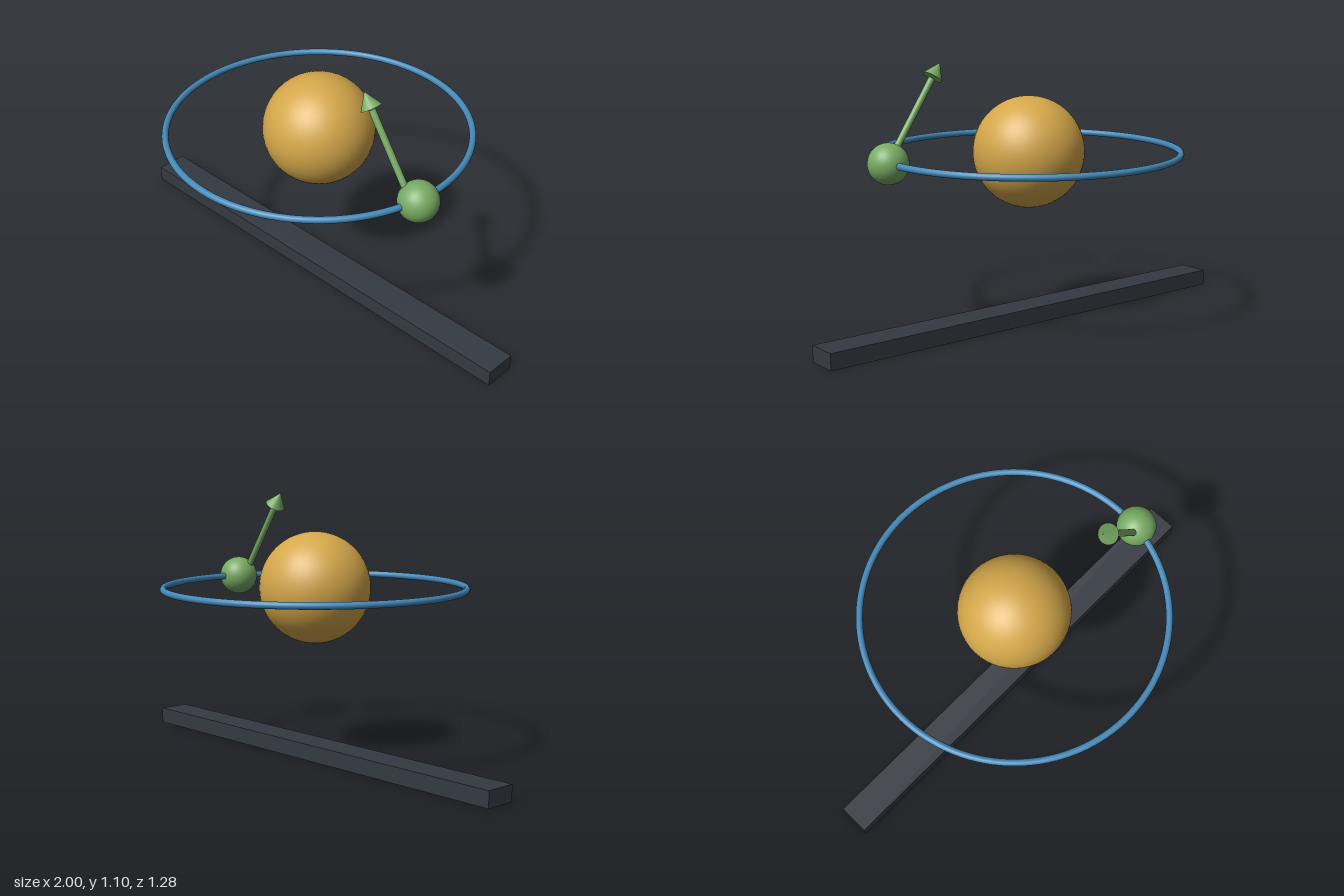
import * as THREE from 'three';

const material = (name, color) => {
  const m = new THREE.MeshStandardMaterial({ color });
  m.name = name;
  return m;
};

export function createModel() {
  const group = new THREE.Group();
  group.name = 'orbitModel';
  const gold = material('gold', 0xd4a74a);
  const blue = material('blue', 0x4489b8);
  const green = material('green', 0x78ab64);
  const slate = material('slate', 0x343a42);

  const add = (name, geometry, mat, x, y, z, parent = group) => {
    const mesh = new THREE.Mesh(geometry, mat);
    mesh.name = name;
    mesh.position.set(x, y, z);
    parent.add(mesh);
    return mesh;
  };

  const orbitY = 0.72;

  // Base bar on the ground
  add('baseBar', new THREE.BoxGeometry(2, 0.068, 0.134), slate, 0, 0.034, 0);

  // Central body and its orbit ring
  add('centralSphere', new THREE.SphereGeometry(0.232, 48, 32), gold, 0, orbitY, 0);
  const ring = add('orbitRing', new THREE.TorusGeometry(0.626, 0.014, 16, 128), blue, 0, orbitY, 0);
  ring.rotation.x = Math.PI / 2;

  // Small body riding on the ring
  add('orbitingSphere', new THREE.SphereGeometry(0.083, 32, 24), green, 0.623, orbitY, 0.1);

  // Slanted arrow, built along its own +y from inside the small body
  const start = new THREE.Vector3(0.606, orbitY, 0.123);
  const tip = new THREE.Vector3(0.356, 1.098, 0.123);
  const along = tip.clone().sub(start);
  const length = along.length();
  const headLength = 0.067;
  const shaftLength = length - headLength - 0.006;
  const arrow = new THREE.Group();
  arrow.name = 'arrow';
  arrow.position.copy(start);
  arrow.quaternion.setFromUnitVectors(new THREE.Vector3(0, 1, 0), along.normalize());
  add('arrowShaft', new THREE.CylinderGeometry(0.014, 0.014, shaftLength, 20), green, 0, shaftLength / 2, 0, arrow);
  add('arrowHead', new THREE.ConeGeometry(0.043, headLength, 24), green, 0, length - headLength / 2, 0, arrow);
  group.add(arrow);

  return group;
}
